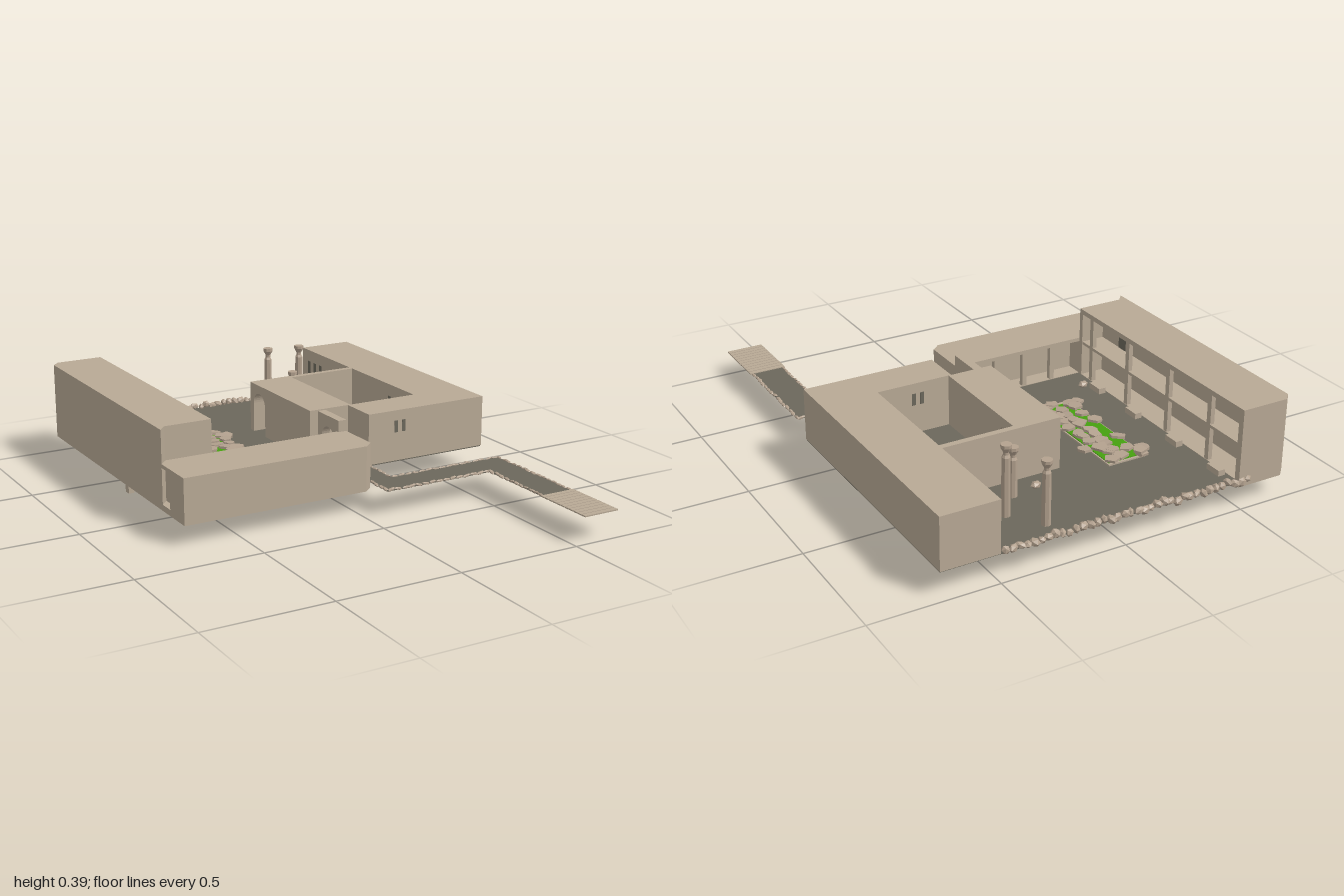
import * as THREE from 'three';

export function createModel() {
  const model = new THREE.Group();
  const mat = (name, color, extra = {}) => {
    const m = new THREE.MeshStandardMaterial({ color, ...extra });
    m.name = name;
    return m;
  };
  const tan = mat('sandstone', 0xb8a995);
  const stone = mat('rubble stone', 0xb3a18e, { flatShading: true });
  const dark = mat('paving', 0x6b675b);
  const green = mat('grass', 0x46a010);

  let seed = 7;
  const rnd = (a = 0, b = 1) => {
    seed = (seed * 16807) % 2147483647;
    return a + (b - a) * (seed / 2147483647);
  };

  const add = (name, geo, material, x = 0, y = 0, z = 0) => {
    const m = new THREE.Mesh(geo, material);
    m.name = name;
    m.position.set(x, y, z);
    model.add(m);
    return m;
  };
  const box = (name, material, x0, x1, y0, y1, z0, z1) =>
    add(name, new THREE.BoxGeometry(x1 - x0, y1 - y0, z1 - z0), material,
      (x0 + x1) / 2, (y0 + y1) / 2, (z0 + z1) / 2);
  // Prism raised from a ground plan of [x, z] points
  const plan = (name, material, pts, y0, y1) => {
    const shape = new THREE.Shape(pts.map(([x, z]) => new THREE.Vector2(x, -z)));
    const geo = new THREE.ExtrudeGeometry(shape, { depth: y1 - y0, bevelEnabled: false });
    return add(name, geo.rotateX(-Math.PI / 2), material, 0, y0, 0);
  };
  // Wall running along z, pierced by an arch between a0 and a1
  const archWall = (name, x0, x1, z0, z1, y0, y1, a0, a1, spring) => {
    const s = new THREE.Shape();
    s.moveTo(-z1, y0);
    s.lineTo(-a1, y0);
    s.lineTo(-a1, spring);
    s.absarc(-(a0 + a1) / 2, spring, (a1 - a0) / 2, Math.PI, 0, true);
    s.lineTo(-a0, y0);
    s.lineTo(-z0, y0);
    s.lineTo(-z0, y1);
    s.lineTo(-z1, y1);
    const geo = new THREE.ExtrudeGeometry(s, { depth: x1 - x0, bevelEnabled: false, curveSegments: 8 });
    return add(name, geo.rotateY(Math.PI / 2), tan, x0, 0, 0);
  };

  // Courtyard paving
  box('courtyardFloor', dark, -0.52, 0.718, 0.097, 0.102, -0.975, 0.097);

  // Tall wing with a two-storey loggia
  const wingPlan = (xi) => [[-0.72, 0.125], [-0.69, 0.09], [xi, 0.09], [xi, -0.98], [-0.69, -0.98], [-0.72, -0.95]];
  plan('tallWingBody', tan, wingPlan(-0.6), 0.08, 0.37);
  plan('tallWingRoof', tan, wingPlan(-0.5), 0.37, 0.39);
  plan('tallWingBase', tan, wingPlan(-0.5), 0.08, 0.104);
  box('loggiaEnd', tan, -0.6, -0.5, 0.104, 0.37, -0.98, -0.955);
  box('loggiaEnd', tan, -0.6, -0.5, 0.104, 0.37, 0.07, 0.09);
  box('loggiaUpperFloor', tan, -0.6, -0.502, 0.238, 0.25, -0.955, 0.07);
  for (const z of [0.005, -0.25, -0.52, -0.78]) {
    box('loggiaPost', tan, -0.52, -0.502, 0.104, 0.37, z - 0.011, z + 0.011);
    box('loggiaBench', tan, -0.49, -0.46, 0.102, 0.125, z - 0.13, z - 0.06);
  }
  // Dark arched doorway on the upper floor
  const door = new THREE.Shape();
  door.moveTo(-0.025, 0);
  door.lineTo(0.025, 0);
  door.lineTo(0.025, 0.06);
  door.absarc(0, 0.06, 0.025, 0, Math.PI);
  add('upperDoor', new THREE.ShapeGeometry(door), dark, -0.598, 0.25, -0.075).rotation.y = Math.PI / 2;
  for (const x of [-0.69, -0.53]) box('foundationPost', tan, x - 0.012, x + 0.012, 0.035, 0.08, -0.265, -0.235);

  // Low front wing with a chamfered corner and an open inner side
  const front = (name, zi, y0, y1) => plan(name, tan,
    [[-0.72, 0.31], [0.04, 0.31], [0.075, 0.28], [0.075, zi], [-0.69, zi], [-0.72, zi + 0.03]], y0, y1);
  front('frontWingBody', 0.16, 0.08, 0.245);
  front('frontWingRoof', 0.09, 0.245, 0.26);
  front('frontWingBase', 0.09, 0.08, 0.104);
  box('frontWingEnd', tan, 0.02, 0.075, 0.104, 0.245, 0.09, 0.16);
  box('frontWingEnd', tan, -0.69, -0.5, 0.104, 0.245, 0.09, 0.16);
  for (const x of [-0.37, -0.24, -0.11]) box('frontWingPost', tan, x - 0.01, x + 0.01, 0.104, 0.245, 0.092, 0.112);

  // Right wing, its front arm, and the block that closes the inner court
  plan('rightWing', tan, [[0.178, 0.1], [0.72, 0.1], [0.72, -0.98], [0.49, -0.98], [0.49, -0.06], [0.178, -0.06]], 0.102, 0.31);
  archWall('innerBlock', 0.005, 0.19, -0.57, -0.06, 0.102, 0.31, -0.54, -0.44, 0.225);
  box('innerCourtWall', tan, 0.19, 0.49, 0.102, 0.31, -0.57, -0.545);
  archWall('gateArch', 0.04, 0.075, -0.06, 0.1, 0.102, 0.305, -0.03, 0.07, 0.21);
  box('innerBlockFooting', tan, 0.01, 0.185, 0.09, 0.098, -0.43, -0.06);

  // Slit windows
  for (const x of [0.305, 0.34]) {
    box('frontSlit', dark, x - 0.008, x + 0.008, 0.22, 0.268, 0.098, 0.102);
    box('courtSlit', dark, x - 0.008, x + 0.008, 0.22, 0.268, -0.062, -0.058);
  }
  for (const z of [-0.92, -0.87, -0.82, -0.24, -0.19]) box('sideSlit', dark, 0.488, 0.492, 0.2, 0.26, z - 0.01, z + 0.01);

  // Sunken planters with broken paving slabs
  const slab = (x, y, z, r) => {
    const n = Math.floor(rnd(5, 7)), pts = [];
    for (let i = 0; i < n; i++) {
      const a = (i / n) * Math.PI * 2 + rnd(-0.25, 0.25), q = r * rnd(0.8, 1.2);
      pts.push(new THREE.Vector2(Math.cos(a) * q, Math.sin(a) * q));
    }
    const geo = new THREE.ExtrudeGeometry(new THREE.Shape(pts), { depth: 0.01, bevelEnabled: false });
    const m = add('brokenSlab', geo.rotateX(-Math.PI / 2), stone, x, y, z);
    m.rotation.set(rnd(-0.12, 0.12), 0, rnd(-0.12, 0.12));
  };
  box('leftPlanter', tan, -0.32, -0.158, 0.055, 0.108, -0.65, -0.12);
  box('leftGrass', green, -0.314, -0.164, 0.108, 0.111, -0.64, -0.14);
  box('rightPlanter', tan, 0.41, 0.57, 0.055, 0.104, -0.545, -0.03);
  box('rightGrass', green, 0.41, 0.489, 0.104, 0.111, -0.54, -0.07);
  for (let i = 0; i < 11; i++) {
    const z = -0.625 + i * 0.047;
    for (const x of [-0.295, -0.235, -0.188]) {
      if (x === -0.295 && i > 1 && i < 8 && i % 3 !== 0) continue;
      slab(x + rnd(-0.012, 0.012), 0.112 + rnd(0, 0.008), z + rnd(-0.01, 0.01), 0.029);
    }
  }
  for (const [x, z] of [[-0.34, -0.6], [-0.31, -0.635], [-0.14, -0.51], [-0.34, -0.15]]) slab(x, 0.108, z, 0.03);
  for (let i = 0; i < 10; i++) {
    const z = -0.51 + i * 0.047;
    for (const x of [0.41, 0.458]) slab(x + rnd(-0.01, 0.008), 0.112 + rnd(0, 0.008), z + rnd(-0.01, 0.01), 0.027);
  }

  // Weathered columns with flared capitals
  const profile = (h) => [[0, 0], [0.018, 0], [0.016, h - 0.05], [0.011, h - 0.04], [0.011, h - 0.03],
    [0.021, h - 0.012], [0.021, h], [0, h]].map(([r, y]) => new THREE.Vector2(r, y));
  for (const [x, z, y0, y1] of [[0.26, -0.665, 0, 0.3], [0.26, -0.89, 0.055, 0.355], [0.35, -0.77, 0.08, 0.382]]) {
    add('column', new THREE.LatheGeometry(profile(y1 - y0), 8), stone, x, y0, z);
  }

  // Boulders: rear edge and loose pieces
  const rock = (name, x, y, z, sx, sy, sz, turn = rnd(0, 3)) => {
    const m = add(name, new THREE.IcosahedronGeometry(1, 0), stone, x, y, z);
    m.scale.set(sx, sy, sz);
    m.rotation.set(0, turn, rnd(-0.3, 0.3));
  };
  for (let x = -0.54; x < 0.49; x += 0.028) {
    rock('edgeBoulder', x, 0.105 + rnd(-0.006, 0.008), -0.975 + rnd(-0.006, 0.006), rnd(0.016, 0.024), rnd(0.012, 0.02), rnd(0.012, 0.018));
  }
  rock('looseRock', 0.155, 0.112, -0.65, 0.026, 0.014, 0.018, 0.5);
  rock('looseRock', -0.445, 0.112, -0.03, 0.026, 0.014, 0.018, 0.5);

  // Zigzag path
  plan('path', dark, [[0.078, -0.06], [0.175, -0.06], [0.175, 0.27], [0.68, 0.27], [0.68, 0.75], [0.547, 0.75],
    [0.547, 0.4], [0.078, 0.4]], 0.1, 0.104);

  // Flat stones lining the path
  const lining = (x0, z0, x1, z1) => {
    const len = Math.hypot(x1 - x0, z1 - z0), n = Math.round(len / 0.032);
    for (let i = 0; i < n; i++) {
      const t = (i + 0.5) / n;
      rock('pathStone', x0 + (x1 - x0) * t + rnd(-0.003, 0.003), 0.104, z0 + (z1 - z0) * t + rnd(-0.003, 0.003),
        rnd(0.016, 0.022), 0.006, rnd(0.006, 0.009), x0 === x1 ? Math.PI / 2 : 0);
    }
  };
  lining(0.08, 0.1, 0.08, 0.4);
  lining(0.175, 0.1, 0.175, 0.27);
  lining(0.175, 0.27, 0.68, 0.27);
  lining(0.08, 0.398, 0.55, 0.398);
  lining(0.55, 0.4, 0.55, 0.74);
  lining(0.68, 0.27, 0.68, 0.74);

  // Slatted steps at the path's end
  for (let i = 0; i < 11; i++) {
    const z = 0.737 + i * 0.0237;
    box('stepSlat', tan, 0.538, 0.69, 0.102, 0.107, z, z + 0.02);
  }

  return model;
}
